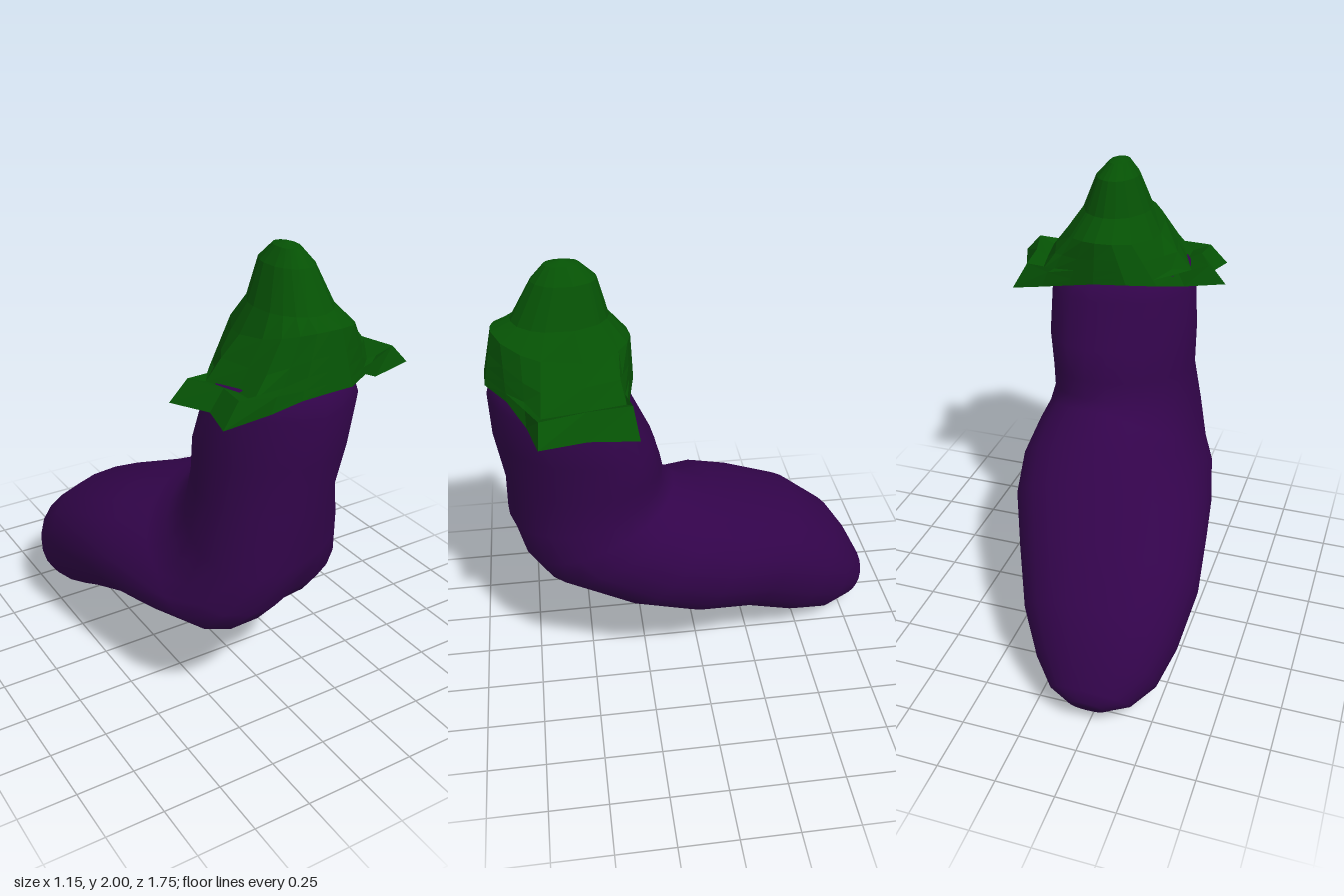
import * as THREE from 'three';

const purple = new THREE.MeshStandardMaterial({ color: 0x32044a });
purple.name = 'aubergine purple';
const green = new THREE.MeshStandardMaterial({ color: 0x065205, flatShading: true, side: THREE.DoubleSide });
green.name = 'leaf green';

// Skin a list of closed rings (each n points), running from the top to the far end
function loft(rings) {
  const n = rings[0].length, index = [];
  for (let k = 0; k < rings.length - 1; k++) {
    for (let i = 0; i < n; i++) {
      const a = k * n + i, b = k * n + (i + 1) % n;
      index.push(a, a + n, b, b, a + n, b + n);
    }
  }
  const g = new THREE.BufferGeometry();
  g.setAttribute('position', new THREE.Float32BufferAttribute(rings.flat(2), 3));
  g.setIndex(index);
  g.computeVertexNormals();
  return g;
}

// Bent fruit: each section is [back z, back y, front z, front y, min x, max x,
// fullness of the +x back corner, of the -x front corner, trim of the other two, droop of the -x side]
function bodyGeometry() {
  const n = 24;
  const sections = [
    [0.31, 1.50, 0.84, 1.53, -0.27, 0.30, 0.25, -0.15, 0.1, 0],
    [0.29, 1.40, 0.87, 1.42, -0.30, 0.345, 0.3, -0.15, 0.15, 0],
    [0.20, 1.20, 0.865, 1.22, -0.32, 0.34, 0.25, -0.1, 0.2, 0],
    [0.16, 1.06, 0.83, 1.00, -0.31, 0.325, 0.15, 0.1, 0.25, 0],
    [0.155, 0.97, 0.83, 0.79, -0.335, 0.335, 0.05, 0.25, 0.2, 0.05],
    [0.10, 0.94, 0.78, 0.64, -0.37, 0.35, 0, 0.32, 0.05, 0.1],
    [0.03, 0.90, 0.70, 0.54, -0.425, 0.375, 0, 0.32, 0, 0.1],
    [-0.08, 0.85, 0.37, 0.37, -0.505, 0.39, 0, 0.12, 0, 0.04],
    [-0.25, 0.76, 0.10, 0.27, -0.55, 0.35, 0, 0, 0, 0],
    [-0.50, 0.65, -0.17, 0.18, -0.58, 0.235, 0, 0, 0, 0],
    [-0.70, 0.49, -0.42, 0.06, -0.55, 0.13, 0, 0, 0, 0],
    [-0.80, 0.34, -0.60, 0.0, -0.50, 0.03, 0, 0, 0, 0],
    [-0.87, 0.20, -0.74, 0.03, -0.42, -0.07, 0, 0, 0, 0],
    [-0.875, 0.14, -0.83, 0.06, -0.32, -0.17, 0, 0, 0, 0],
  ];
  const bulge = (v) => Math.sign(v) * Math.abs(v) ** 0.92;
  const ring = ([bz, by, fz, fy, x0, x1, backFull, frontFull, trim, droop], size = 1) => Array.from({ length: n }, (_, i) => {
    const a = (i / n) * Math.PI * 2, cs = Math.cos(a) * Math.sin(a);
    const full = cs < 0 ? trim : Math.cos(a) > 0 ? backFull : frontFull;
    const r = size * (1 + cs * full);
    const c = bulge(Math.cos(a)) * r, s = bulge(Math.sin(a)) * r;
    const y = (by + fy) / 2 + s * (by - fy) / 2 - droop * Math.max(-c, 0);
    return [(x0 + x1) / 2 + c * (x1 - x0) / 2, y, (bz + fz) / 2 + s * (bz - fz) / 2];
  });
  return loft([ring(sections[0], 0), ...sections.map((s) => ring(s)), ring(sections.at(-1), 0)]);
}

// Leafy cap: wavy rim with two curled side flaps, rising to a blunt tip
function capGeometry() {
  const rim = [
    [0.02, 1.52, 0.87], [0.14, 1.52, 0.865], [0.27, 1.51, 0.78], [0.38, 1.45, 0.71],
    [0.57, 1.46, 0.67], [0.50, 1.44, 0.48], [0.49, 1.42, 0.28], [0.36, 1.43, 0.31],
    [0.22, 1.46, 0.295], [0.10, 1.49, 0.27], [-0.05, 1.50, 0.28], [-0.17, 1.48, 0.36],
    [-0.27, 1.45, 0.47], [-0.445, 1.46, 0.53], [-0.36, 1.46, 0.68], [-0.39, 1.45, 0.82],
    [-0.18, 1.46, 0.81], [-0.08, 1.51, 0.86],
  ];
  // How far each rim point belongs to a flap
  const flap = [0, 0, 0, 0.4, 1, 1, 1, 0.4, 0, 0, 0, 0, 0.4, 1, 1, 1, 0.4, 0];
  // Oval ring of the crown, following the direction of each rim point
  const oval = (x, z, rx, rz, y, arch = 0, tilt = 0) => rim.map((p) => {
    const a = Math.atan2((p[2] - 0.56) / 0.3, (p[0] - 0.07) / 0.45);
    return [x + rx * Math.cos(a), y - arch * Math.cos(a) ** 2 + tilt * Math.sin(a), z + rz * Math.sin(a)];
  });
  const shoulder = oval(0.08, 0.55, 0.22, 0.275, 1.71, 0.04, 0.03);
  // Rings between rim and shoulder; flaps take their own height to form the curl
  const between = (t, flapT, flapY) => rim.map((p, i) => {
    const u = t + (flapT - t) * flap[i];
    const q = p.map((v, k) => v + (shoulder[i][k] - v) * u);
    q[1] += (flapY - q[1]) * flap[i];
    return q;
  });
  return loft([
    oval(0.06, 0.53, 0, 0, 2.0),
    oval(0.06, 0.53, 0.045, 0.07, 1.985),
    oval(0.065, 0.525, 0.095, 0.13, 1.925),
    oval(0.07, 0.55, 0.155, 0.195, 1.77),
    shoulder,
    between(0.6, 0.74, 1.59),
    between(0.35, 0.52, 1.51),
    between(0.15, 0.26, 1.54),
    rim,
  ]);
}

// Small leaf sliver lying on the underside of the fruit
function sliverGeometry() {
  const g = new THREE.BufferGeometry();
  g.setAttribute('position', new THREE.Float32BufferAttribute([
    -0.178, 0.14, -0.225, -0.13, 0.18, -0.115, -0.11, 0.243, 0.05, -0.168, 0.184, -0.105,
  ], 3));
  g.setIndex([0, 1, 2, 0, 2, 3]);
  g.computeVertexNormals();
  return g;
}

export function createModel() {
  const group = new THREE.Group();
  group.name = 'aubergine';
  const add = (name, geometry, material) => {
    const mesh = new THREE.Mesh(geometry, material);
    mesh.name = name;
    group.add(mesh);
  };
  add('body', bodyGeometry(), purple);
  add('leafCap', capGeometry(), green);
  add('leafSliver', sliverGeometry(), green);
  return group;
}
